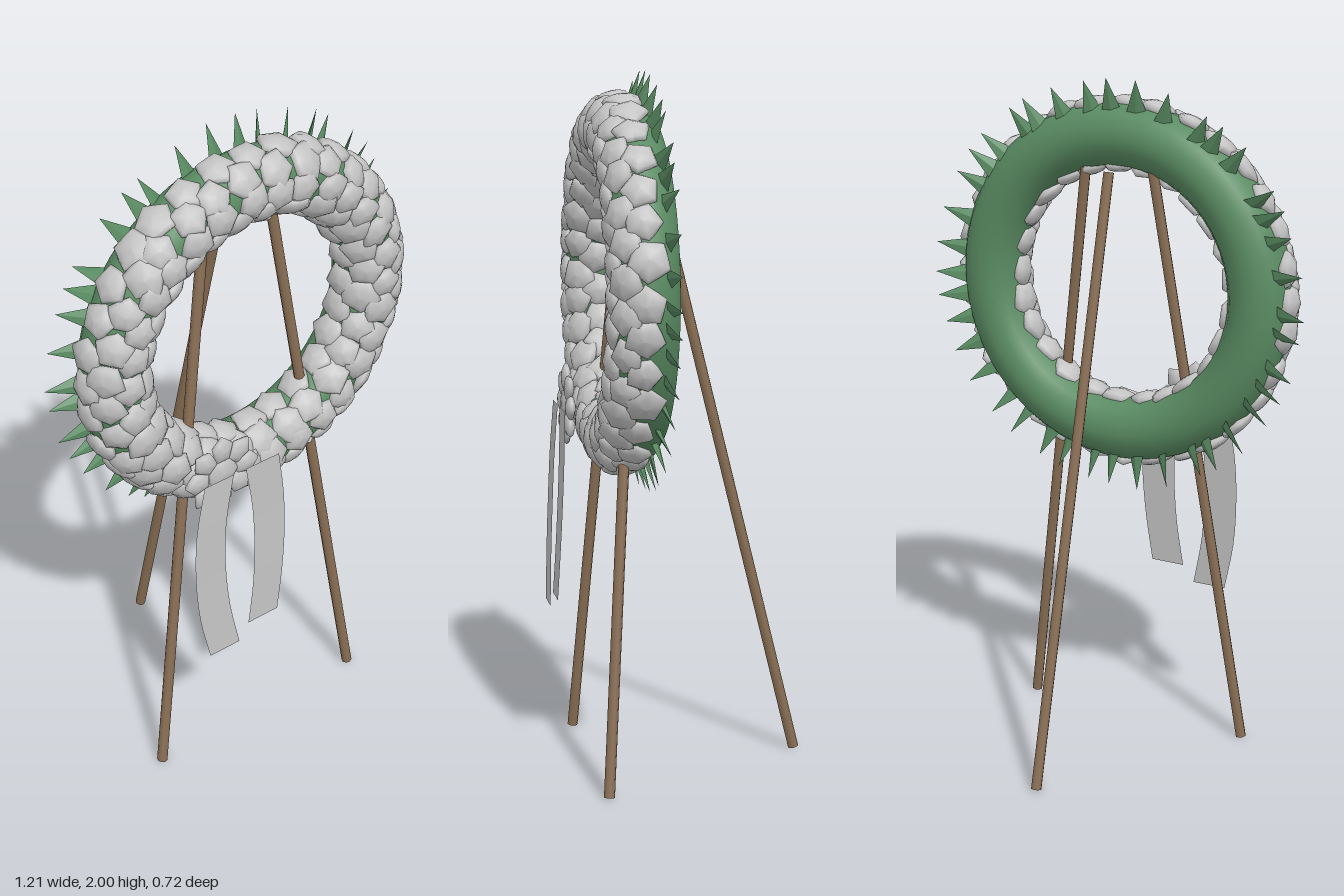
import * as THREE from 'three';
import { mergeGeometries } from 'three/addons/utils/BufferGeometryUtils.js';

const CENTER_Y = 1.395, CENTER_Z = 0.172, RING = 0.435, TUBE = 0.092;
const Z_AXIS = new THREE.Vector3(0, 0, 1);

function seeded(seed) {
  return () => {
    seed = (seed * 16807) % 2147483647;
    return seed / 2147483647;
  };
}

// Puffy five-lobed blossom, flat along z
function blossomGeometry() {
  const geo = new THREE.SphereGeometry(1, 10, 6);
  geo.rotateX(Math.PI / 2);
  const p = geo.attributes.position;
  for (let i = 0; i < p.count; i++) {
    const x = p.getX(i), y = p.getY(i);
    const k = 0.93 + 0.09 * Math.cos(5 * Math.atan2(y, x));
    p.setXY(i, x * k, y * k);
  }
  geo.computeVertexNormals();
  return geo;
}

// Straight round pole between two points
function pole(a, b, radius, material) {
  const dir = b.clone().sub(a);
  const mesh = new THREE.Mesh(new THREE.CylinderGeometry(radius, radius, dir.length(), 8), material);
  mesh.position.copy(a).add(b).multiplyScalar(0.5);
  mesh.quaternion.setFromUnitVectors(new THREE.Vector3(0, 1, 0), dir.normalize());
  return mesh;
}

// Curved strip: rows run from top to bottom as [xLeft, xRight, y, z]
function ribbon(rows, material) {
  const point = (i) => new THREE.CatmullRomCurve3(rows.map((r) => new THREE.Vector3(r[i], r[2], r[3])));
  const left = point(0), right = point(1), steps = 12;
  const geo = new THREE.PlaneGeometry(1, 1, 1, steps);
  for (let i = 0; i <= steps; i++) {
    const l = left.getPoint(i / steps), r = right.getPoint(i / steps);
    geo.attributes.position.setXYZ(2 * i, l.x, l.y, l.z);
    geo.attributes.position.setXYZ(2 * i + 1, r.x, r.y, r.z);
  }
  geo.computeVertexNormals();
  return new THREE.Mesh(geo, material);
}

export function createModel() {
  const model = new THREE.Group();
  const rand = seeded(4711);
  const jitter = (a) => (rand() - 0.5) * 2 * a;
  const green = new THREE.MeshStandardMaterial({ color: 0x5a8c63 });
  green.name = 'leafGreen';
  const grey = new THREE.MeshStandardMaterial({ color: 0xc4c4c4, side: THREE.DoubleSide });
  grey.name = 'paleGrey';
  const wood = new THREE.MeshStandardMaterial({ color: 0x8a6f55 });
  wood.name = 'wood';
  const add = (name, mesh, parent = model) => {
    mesh.name = name;
    parent.add(mesh);
    return mesh;
  };

  const wreath = add('wreath', new THREE.Group());
  wreath.position.set(0, CENTER_Y, CENTER_Z);
  add('wreathRing', new THREE.Mesh(new THREE.TorusGeometry(RING, TUBE, 16, 64), green), wreath);

  // Blossom rows, from the outer rim over the front to the inner rim
  const base = blossomGeometry();
  const blossoms = [];
  const rows = [[8, 32], [48, 32], [90, 30], [132, 27], [174, 25]];
  rows.forEach(([deg, count], row) => {
    for (let i = 0; i < count; i++) {
      const u = ((i + row * 0.5 + jitter(0.13)) / count) * Math.PI * 2;
      const v = THREE.MathUtils.degToRad(deg + jitter(5));
      const n = new THREE.Vector3(Math.cos(v) * Math.cos(u), Math.cos(v) * Math.sin(u), Math.sin(v));
      const pos = new THREE.Vector3(Math.cos(u), Math.sin(u), 0).multiplyScalar(RING).addScaledVector(n, TUBE - 0.004);
      const q = new THREE.Quaternion().setFromUnitVectors(Z_AXIS, n)
        .multiply(new THREE.Quaternion().setFromAxisAngle(Z_AXIS, rand() * 6.28))
        .multiply(new THREE.Quaternion().setFromEuler(new THREE.Euler(jitter(0.12), jitter(0.12), 0)));
      const s = 0.056 + jitter(0.005);
      blossoms.push(base.clone().applyMatrix4(
        new THREE.Matrix4().compose(pos, q, new THREE.Vector3(s, s, 0.023))));
    }
  });
  add('blossoms', new THREE.Mesh(mergeGeometries(blossoms), grey), wreath);

  // Pointed leaves around the outer rim, leaning back
  const leafGeo = new THREE.ConeGeometry(0.03, 0.105, 4).toNonIndexed();
  leafGeo.scale(1, 1, 0.3).computeVertexNormals();
  const leaves = [];
  const leafCount = 40;
  for (let i = 0; i < leafCount; i++) {
    const u = ((i + jitter(0.3)) / leafCount) * Math.PI * 2;
    const leaf = leafGeo.clone();
    leaf.rotateY(0.45 + jitter(0.25));
    leaf.rotateX(-0.25 + jitter(0.08));
    leaf.translate(0, 0.55 + jitter(0.006), -0.056);
    leaf.rotateZ(u);
    leaves.push(leaf);
  }
  add('leaves', new THREE.Mesh(mergeGeometries(leaves), green), wreath);

  // Tripod stand
  const stand = add('stand', new THREE.Group());
  for (const side of [-1, 1]) {
    const foot = new THREE.Vector3(side * 0.36, 0.002, 0.267);
    const top = new THREE.Vector3(side * 0.105, 1.76, 0.14);
    add(side > 0 ? 'frontLegLeft' : 'frontLegRight', pole(foot, top, 0.0155, wood), stand);
  }
  add('rearLeg', pole(new THREE.Vector3(0, 0.004, -0.345), new THREE.Vector3(0, 1.735, 0.08), 0.0155, wood), stand);

  // Rosette above the ribbons: a ring of flat petals round a centre
  const rosette = add('rosette', new THREE.Group());
  rosette.position.set(-0.17, 1.03, 0.305);
  for (let i = 0; i < 8; i++) {
    const a = (i / 8) * Math.PI * 2;
    const petal = add('petal', new THREE.Mesh(base, grey), rosette);
    petal.position.set(Math.cos(a) * 0.082, Math.sin(a) * 0.076, 0);
    petal.rotation.z = a;
    petal.scale.set(0.044, 0.036, 0.015);
  }
  const heart = add('rosetteCentre', new THREE.Mesh(base, grey), rosette);
  heart.scale.set(0.055, 0.055, 0.016);

  // Hanging ribbon tails
  add('ribbonTailRight', ribbon([
    [-0.25, -0.15, 1.03, 0.333], [-0.283, -0.18, 0.88, 0.34], [-0.291, -0.186, 0.73, 0.346],
    [-0.281, -0.174, 0.58, 0.353], [-0.25, -0.145, 0.43, 0.36],
  ], grey));
  add('ribbonTailLeft', ribbon([
    [-0.108, 0.008, 1.03, 0.333], [-0.088, 0.024, 0.89, 0.339], [-0.083, 0.026, 0.755, 0.345],
    [-0.09, 0.016, 0.62, 0.351], [-0.11, -0.004, 0.48, 0.357],
  ], grey));

  return model;
}
